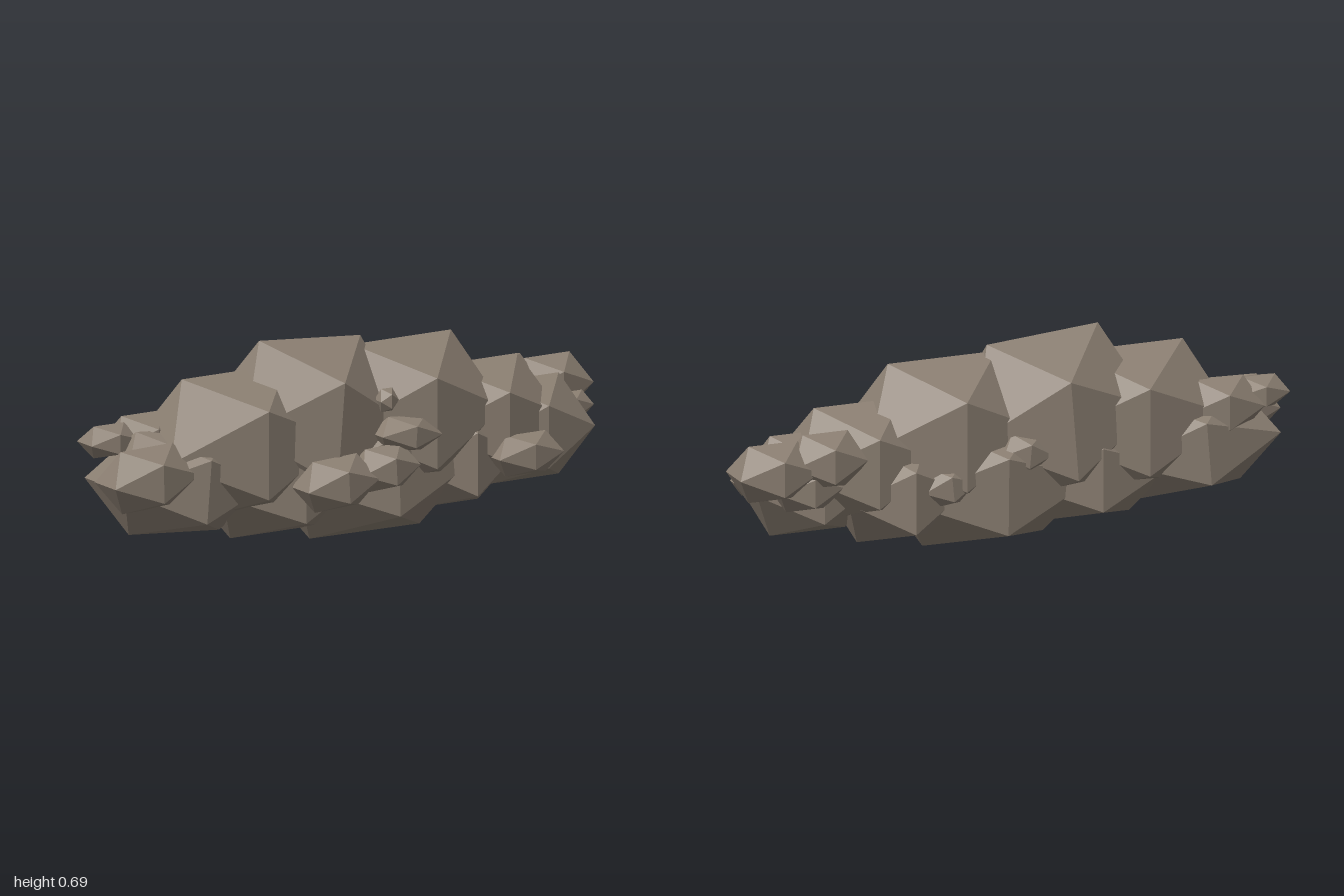
import * as THREE from 'three';

// Each rock: centre x, y, z, then radii x, y, z, then tilt about x and z
const upperBoulders = [
  [-0.44, 0.36, -0.03, 0.38, 0.28, 0.25, 0, 0],
  [-0.17, 0.40, -0.033, 0.37, 0.32, 0.267, 0, -0.08],
  [0.20, 0.385, -0.028, 0.36, 0.288, 0.255, 0, 0],
  [0.50, 0.325, -0.04, 0.29, 0.223, 0.228, 0, 0],
];
const lowerBoulders = [
  [-0.65, 0.26, -0.04, 0.33, 0.2, 0.228, 0, -0.08],
  [-0.28, 0.215, -0.04, 0.32, 0.203, 0.23, 0, 0],
  [0.06, 0.215, -0.038, 0.4, 0.25, 0.26, -0.05, -0.01],
  [0.38, 0.217, -0.05, 0.24, 0.2, 0.235, 0, 0],
  [0.67, 0.265, -0.028, 0.25, 0.198, 0.176, 0, 0],
];
const frontStones = [
  [-0.835, 0.315, 0.07, 0.19, 0.122, 0.12, 0, 0.03],
  [-0.19, 0.24, 0.19, 0.16, 0.1, 0.1, 0, 0.05],
  [0.0, 0.265, 0.18, 0.13, 0.085, 0.095, 0, 0.05],
  [0.10, 0.36, 0.155, 0.135, 0.068, 0.08, 0, -0.08],
  [0.03, 0.48, 0.15, 0.04, 0.045, 0.04, 0, 0],
  [0.565, 0.23, 0.145, 0.145, 0.08, 0.075, 0, 0],
];
const endStones = [
  [-0.875, 0.412, -0.1, 0.11, 0.062, 0.085, 0, 0],
  [-0.73, 0.385, -0.12, 0.16, 0.112, 0.11, 0, 0],
  [0.85, 0.36, -0.175, 0.163, 0.112, 0.122, 0, 0],
  [0.87, 0.305, -0.07, 0.09, 0.055, 0.05, 0, 0],
  [0.67, 0.38, -0.18, 0.15, 0.11, 0.105, 0, 0],
  [0.73, 0.29, -0.16, 0.13, 0.09, 0.1, 0, 0],
];
const backStones = [
  [-0.02, 0.33, -0.2, 0.1, 0.075, 0.06, 0, 0.1],
  [0.25, 0.25, -0.19, 0.11, 0.08, 0.07, 0, -0.1],
];

export function createModel() {
  const model = new THREE.Group();
  model.name = 'rockCluster';
  const stone = new THREE.MeshStandardMaterial({ color: 0x8b7f72, flatShading: true });
  const shape = new THREE.IcosahedronGeometry(1, 0);

  // Faceted rocks, each a stretched icosahedron
  const addRocks = (name, rocks) => {
    const group = new THREE.Group();
    group.name = name;
    rocks.forEach(([x, y, z, rx, ry, rz, tiltX, tiltZ], i) => {
      const rock = new THREE.Mesh(shape, stone);
      rock.name = `${name}${i + 1}`;
      rock.position.set(x, y, z);
      rock.scale.set(rx, ry, rz);
      rock.rotation.set(tiltX, 0, tiltZ);
      group.add(rock);
    });
    model.add(group);
  };

  addRocks('upperBoulder', upperBoulders);
  addRocks('lowerBoulder', lowerBoulders);
  addRocks('frontStone', frontStones);
  addRocks('endStone', endStones);
  addRocks('backStone', backStones);
  return model;
}
